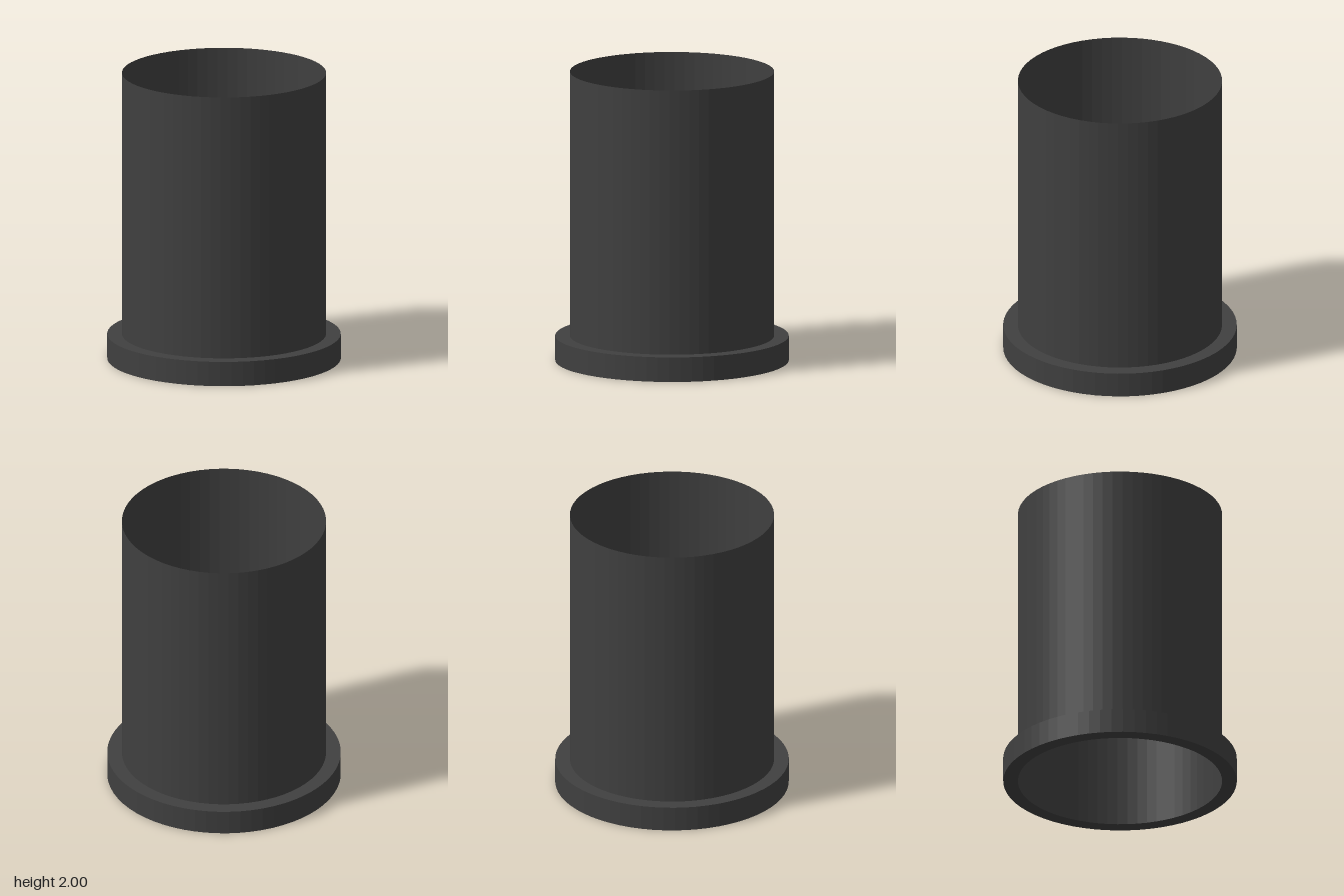
import * as THREE from 'three';

const SIDES = 64;
const TUBE_R = 0.695;
const FLANGE_R = 0.795;
const FLANGE_H = 0.17;
const HEIGHT = 2;

export function createModel() {
  const group = new THREE.Group();
  group.name = 'flangedSleeve';

  const material = new THREE.MeshStandardMaterial({
    color: 0x404040,
    flatShading: true,
    side: THREE.DoubleSide,
  });

  // Thin open tube standing on the flange
  const tubeHeight = HEIGHT - FLANGE_H;
  const tube = new THREE.Mesh(
    new THREE.CylinderGeometry(TUBE_R, TUBE_R, tubeHeight, SIDES, 1, true),
    material
  );
  tube.position.y = FLANGE_H + tubeHeight / 2;
  tube.name = 'tube';

  // Solid ring at the base, flush with the tube on the inside
  const profile = [
    [TUBE_R, 0], [FLANGE_R, 0], [FLANGE_R, FLANGE_H], [TUBE_R, FLANGE_H], [TUBE_R, 0],
  ].map(([r, y]) => new THREE.Vector2(r, y));
  const flange = new THREE.Mesh(new THREE.LatheGeometry(profile, SIDES), material);
  flange.name = 'baseFlange';

  group.add(tube, flange);
  return group;
}
